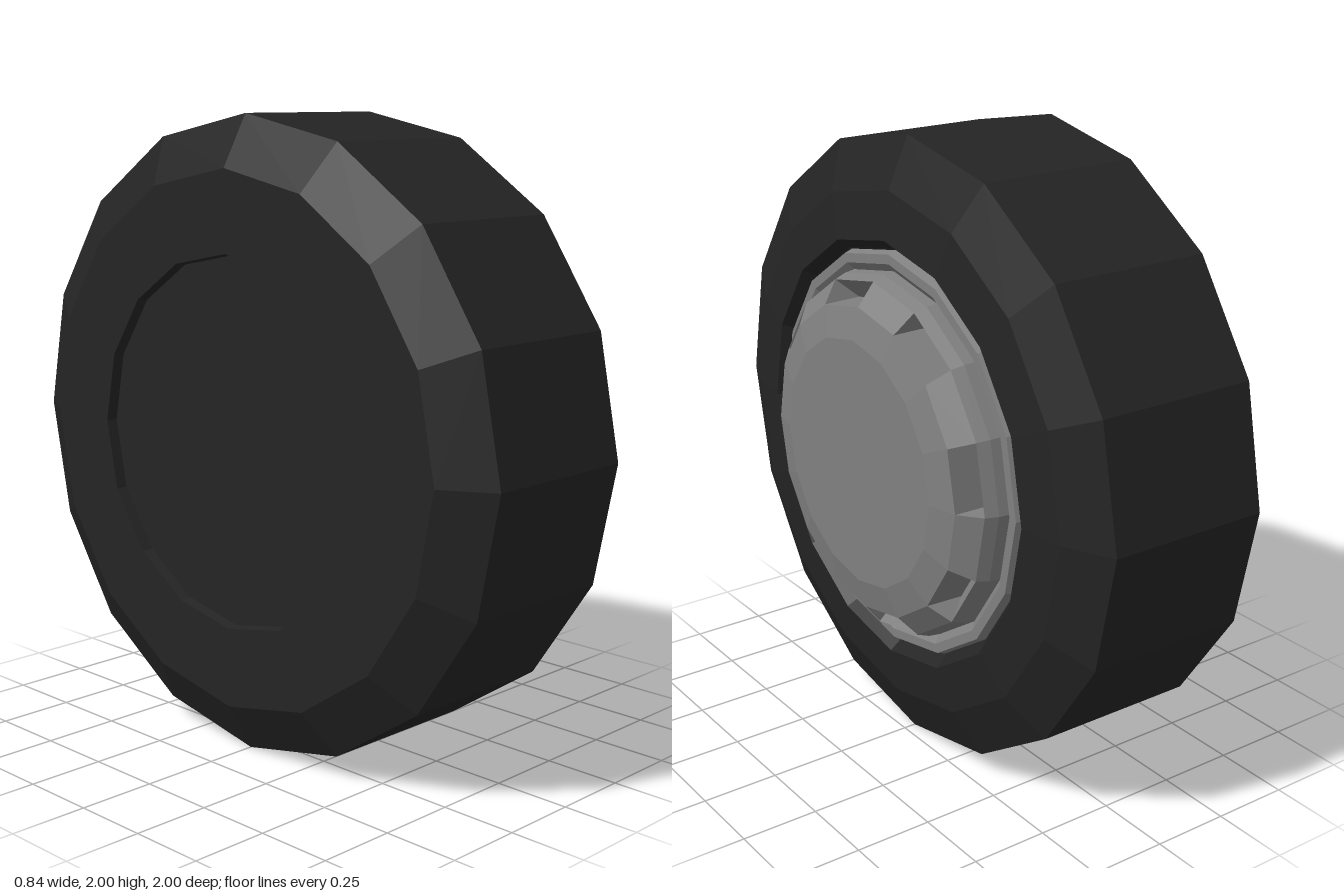
import * as THREE from 'three';

const SIDES = 16;

const rubber = new THREE.MeshStandardMaterial({ color: 0x242424 });
rubber.name = 'rubber';
const metal = new THREE.MeshStandardMaterial({ color: 0x808080 });
metal.name = 'metal';

// Faceted turned part about the x axis; profile points are [radius, x]
function turned(name, profile, material) {
  const lathe = new THREE.LatheGeometry(profile.map(([r, x]) => new THREE.Vector2(r, x)), SIDES);
  lathe.rotateZ(-Math.PI / 2);
  const geometry = lathe.toNonIndexed();
  geometry.computeVertexNormals();
  const mesh = new THREE.Mesh(geometry, material);
  mesh.name = name;
  return mesh;
}

// Point on the wheel at corner i of the sixteen-sided ring
function corner([r, x], i) {
  const a = (i / SIDES) * Math.PI * 2;
  return [x, r * Math.sin(a), -r * Math.cos(a)];
}

// Sloping shoulder of the hub cap, with a wedge-shaped vent in every second facet
function ventedShoulder(outer, deep, inner) {
  const positions = [];
  const tri = (a, b, c) => positions.push(...a, ...b, ...c);
  const facet = (p, q, i) => {
    const a = corner(p, i), b = corner(p, i + 1), c = corner(q, i + 1), d = corner(q, i);
    tri(a, b, c);
    tri(a, c, d);
  };
  for (let i = 0; i < SIDES; i++) {
    if (i % 2) {
      facet(outer, inner, i);
      continue;
    }
    facet(outer, deep, i);
    facet(deep, inner, i);
    tri(corner(outer, i), corner(deep, i), corner(inner, i));
    tri(corner(outer, i + 1), corner(inner, i + 1), corner(deep, i + 1));
  }
  const geometry = new THREE.BufferGeometry();
  geometry.setAttribute('position', new THREE.Float32BufferAttribute(positions, 3));
  geometry.computeVertexNormals();
  const mesh = new THREE.Mesh(geometry, metal);
  mesh.name = 'hubCapVents';
  return mesh;
}

export function createModel() {
  const wheel = new THREE.Group();
  wheel.name = 'wheel';

  // Tyre, from the recessed back plate round the tread to the front bead
  wheel.add(turned('tyre', [
    [0, -0.385], [0.58, -0.385], [0.585, -0.42], [0.84, -0.42], [1, -0.33],
    [1, 0.21], [0.84, 0.28], [0.69, 0.3], [0.66, 0.26], [0.645, 0.25],
  ], rubber));

  // Rim lip between the tyre and the hub cap
  wheel.add(turned('rim', [
    [0.66, 0.24], [0.645, 0.285], [0.615, 0.285], [0.59, 0.265],
  ], metal));

  // Hub cap: side wall, vented shoulder and flat-topped crown
  const outer = [0.57, 0.34], inner = [0.5, 0.395];
  wheel.add(turned('hubCapSide', [[0.59, 0.26], [0.585, 0.3], outer], metal));
  wheel.add(ventedShoulder(outer, [0.503, 0.27], inner));
  wheel.add(turned('hubCapCrown', [inner, [0.4, 0.418], [0, 0.418]], metal));

  wheel.position.y = 1;
  const model = new THREE.Group();
  model.name = 'wheelModel';
  model.add(wheel);
  return model;
}
